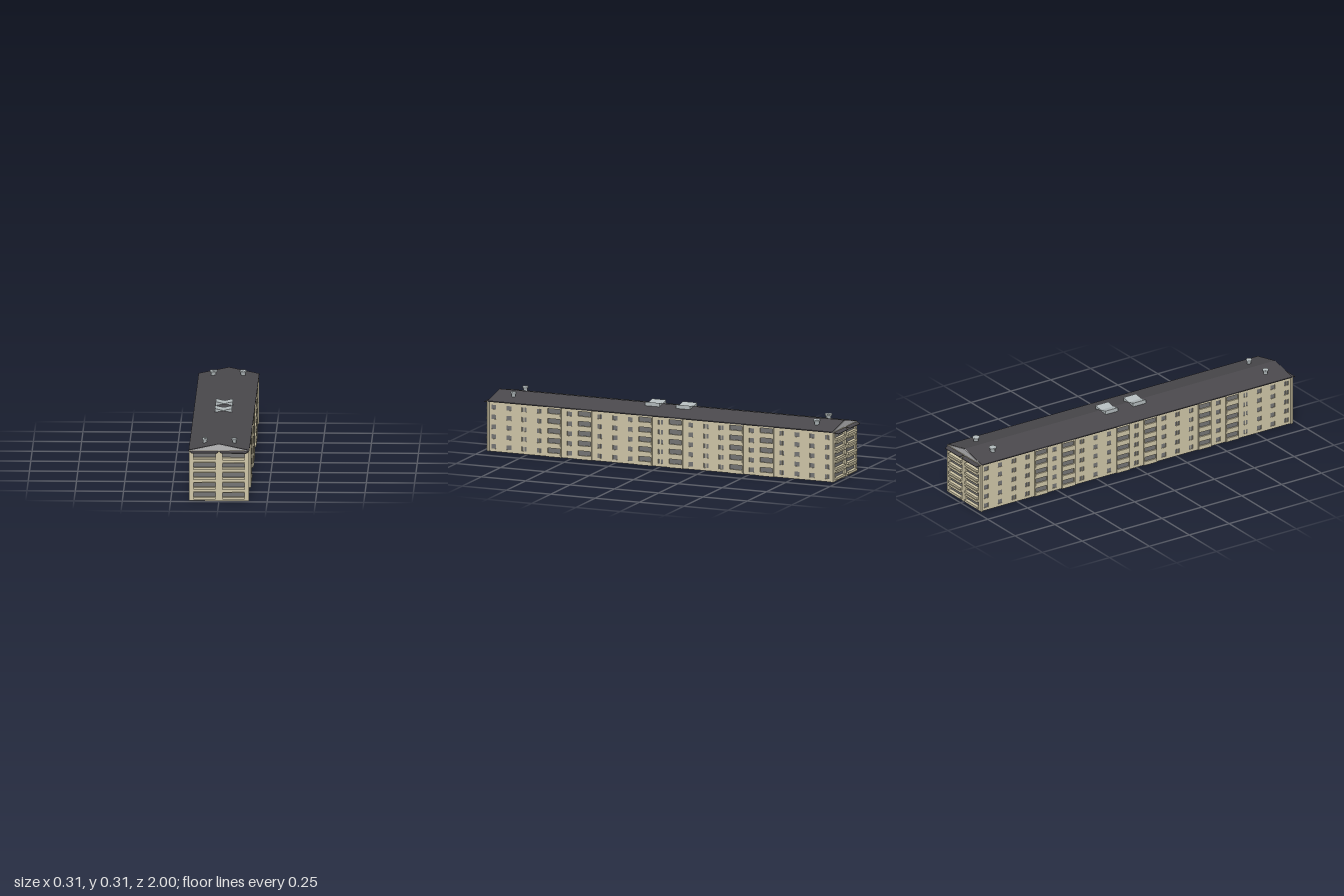
import * as THREE from 'three';
import { ConvexGeometry } from 'three/addons/geometries/ConvexGeometry.js';

const mat = (color, flat = true) => new THREE.MeshStandardMaterial({ color, flatShading: flat });
const wallMat = mat(0xd0c7a8), roofMat = mat(0x4a484c), glassMat = mat(0x757575);
const metalMat = mat(0xb4bcbe), ventMat = mat(0xb4bcbe, false), gableMat = mat(0xb8b8ba);

const FLOORS = 5, PITCH = 0.052, WALL_TOP = 0.265;

function add(parent, name, geometry, material, x = 0, y = 0, z = 0) {
  const mesh = new THREE.Mesh(geometry, material);
  mesh.name = name;
  mesh.position.set(x, y, z);
  parent.add(mesh);
  return mesh;
}
const box = (w, h, d) => new THREE.BoxGeometry(w, h, d);

function polygon(points) {
  return new THREE.Shape(points.map(([x, y]) => new THREE.Vector2(x, y)));
}
const rect = (x, y, w, h) => polygon([[x - w / 2, y], [x + w / 2, y], [x + w / 2, y + h], [x - w / 2, y + h]]);

// Upright panel centred on x, pierced by [x, bottom, width, height] openings
function panel(x, width, height, depth, openings) {
  const shape = rect(x, 0, width, height);
  for (const o of openings) shape.holes.push(rect(...o));
  return new THREE.ExtrudeGeometry(shape, { depth, bevelEnabled: false });
}

// Long wall, facing +z, its base plane at z = 0.145
function longFacade() {
  const g = new THREE.Group();
  g.name = 'longFacade';
  const balconies = [4, 6, 10, 12, 16, 18];
  const openings = [];
  for (let i = 0; i < 23; i++) {
    const u = (i - 11) * 0.0855;
    if (balconies.includes(i)) {
      const bays = [];
      for (let f = 0; f < FLOORS; f++) {
        const y = 0.021 + f * PITCH;
        bays.push([u, y, 0.071, 0.025]);
        openings.push([u, y, 0.071, 0.025]);
        add(g, 'balconyGlazing', box(0.071, 0.025, 0.004), glassMat, u, y + 0.0125, 0.147);
        add(g, 'balconyRail', box(0.073, 0.0125, 0.003), wallMat, u, y - 0.006, 0.156);
      }
      add(g, 'balconyColumn', panel(u, 0.081, 0.262, 0.006, bays), wallMat, 0, 0, 0.15);
      continue;
    }
    const double = (i >> 1) % 2 === 1;
    for (let f = 0; f < FLOORS; f++) {
      const y = 0.015 + f * PITCH;
      openings.push([u, y, 0.027, 0.024]);
      add(g, 'windowPane', box(0.027, 0.024, 0.002), glassMat, u, y + 0.012, 0.146);
      if (double) add(g, 'windowMullion', box(0.004, 0.024, 0.005), wallMat, u, y + 0.012, 0.1475);
    }
  }
  add(g, 'longWall', panel(0, 1.95, WALL_TOP, 0.005, openings), wallMat, 0, 0, 0.145);
  return g;
}

// Short end wall with two stacks of balconies, gable and split canopy
function endFacade() {
  const g = new THREE.Group();
  g.name = 'endFacade';
  const openings = [];
  for (const side of [-1, 1]) {
    const u = side * 0.075;
    for (let f = 0; f < FLOORS; f++) {
      const y = 0.021 + f * PITCH;
      openings.push([u, y, 0.112, 0.025]);
      add(g, 'endGlazing', box(0.112, 0.025, 0.004), glassMat, u, y + 0.0125, 0.967);
      add(g, 'endParapet', box(0.113, 0.0125, 0.012), wallMat, u, y - 0.006, 0.982);
      add(g, 'endLintel', box(0.113, 0.003, 0.012), wallMat, u, y + 0.0255, 0.982);
    }
    // Sloping canopy with mitred ends
    const points = [];
    for (const [x, y, z] of [[0, 0.265, 0.97], [0.155, 0.265, 0.97], [0.141, 0.257, 1], [0.012, 0.257, 1]])
      for (const drop of [0, 0.003]) points.push(new THREE.Vector3(side * x, y - drop, z));
    add(g, 'endCanopy', new ConvexGeometry(points), roofMat);
  }
  add(g, 'endWall', panel(0, 0.312, WALL_TOP, 0.012, openings), wallMat, 0, 0, 0.965);
  const gable = polygon([[-0.154, 0.265], [0.154, 0.265], [0, 0.2985]]);
  add(g, 'gable', new THREE.ExtrudeGeometry(gable, { depth: 0.004, bevelEnabled: false }), gableMat, 0, 0, 0.971);
  return g;
}

function roofVent(scale) {
  const profile = [[0.013, 0], [0.013, 0.02], [0.019, 0.026], [0.02, 0.03], [0.018, 0.034], [0, 0.035]];
  return new THREE.LatheGeometry(profile.map(([r, y]) => new THREE.Vector2(r * scale, y)), 20);
}

export function createModel() {
  const model = new THREE.Group();
  model.name = 'apartmentBlock';

  add(model, 'core', box(0.29, WALL_TOP, 1.93), wallMat, 0, WALL_TOP / 2, 0);
  for (const turn of [1, -1]) {
    const long = longFacade();
    long.rotation.y = turn * Math.PI / 2;
    model.add(long);
    const end = endFacade();
    end.rotation.y = turn > 0 ? 0 : Math.PI;
    model.add(end);
  }

  // Shallow pitched roof with thin eaves
  const roof = polygon([[-0.157, 0.262], [0.157, 0.262], [0.157, 0.267], [0, 0.3], [-0.157, 0.267]]);
  add(model, 'roof', new THREE.ExtrudeGeometry(roof, { depth: 1.944, bevelEnabled: false }), roofMat, 0, 0, -0.972);

  // Butterfly-topped hoods astride the ridge
  const hood = polygon([[-0.044, 0.285], [0.044, 0.285], [0.044, 0.311], [0, 0.301], [-0.044, 0.311]]);
  for (const z of [0.052, -0.122])
    add(model, 'roofHood', new THREE.ExtrudeGeometry(hood, { depth: 0.08, bevelEnabled: false }), metalMat, 0, 0, z);

  // Round vents near both ends
  for (const x of [-0.076, 0.076]) {
    add(model, 'roofVent', roofVent(0.8), ventMat, x, 0.275, 0.86);
    add(model, 'roofVent', roofVent(1), ventMat, x, 0.275, -0.85);
  }
  return model;
}
